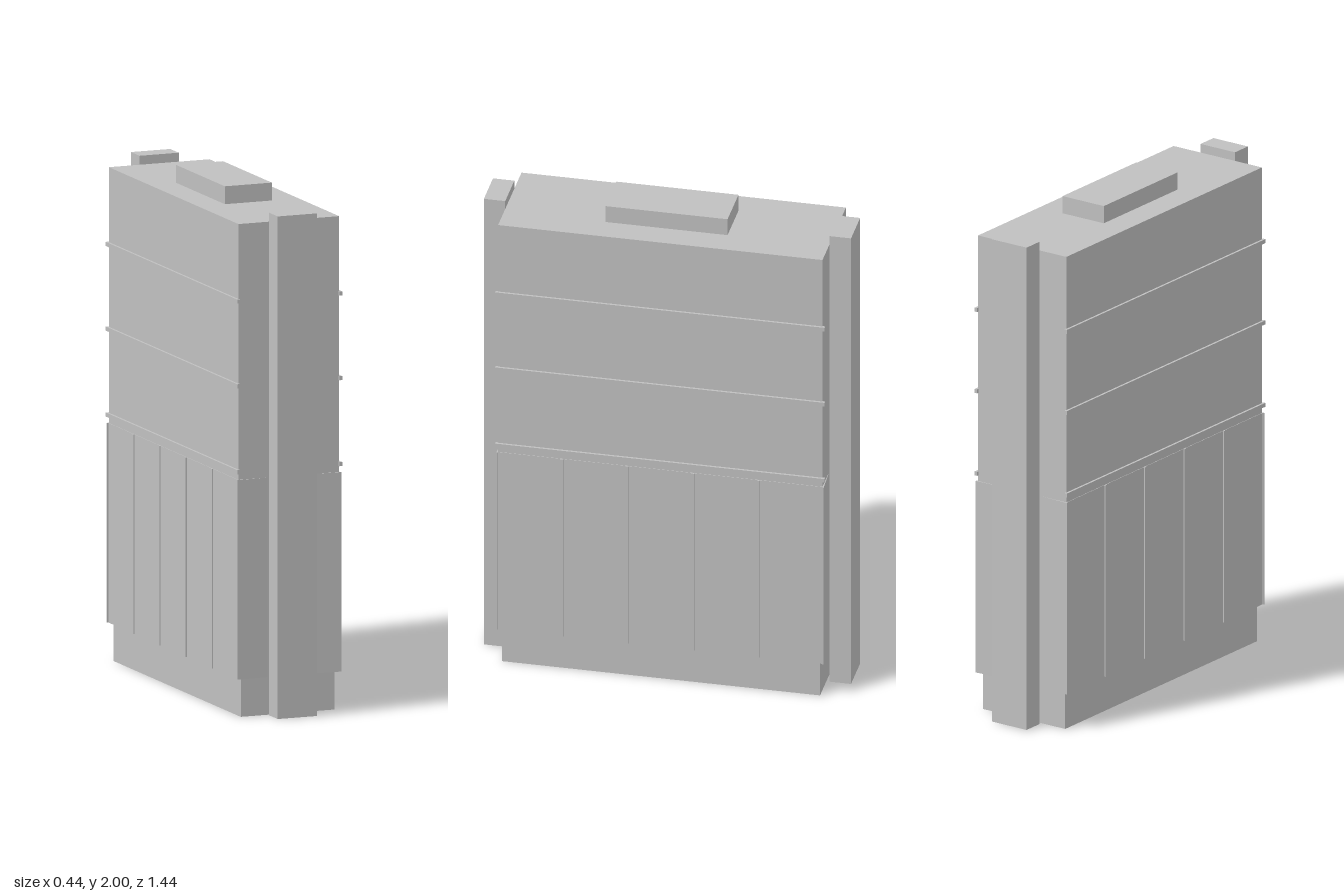
import * as THREE from 'three';

const grey = new THREE.MeshStandardMaterial({ color: 0xc0c0c0, side: THREE.DoubleSide });
grey.name = 'light grey';

// Box given by its half width, y range, z range and x centre; can be open below
function box(name, halfX, y0, y1, z0, z1, { x = 0, open = false } = {}) {
  const geo = new THREE.BoxGeometry(2 * halfX, y1 - y0, z1 - z0);
  if (open) {
    const index = Array.from(geo.index.array);
    index.splice(18, 6); // the downward face
    geo.setIndex(index);
    geo.clearGroups();
  }
  const mesh = new THREE.Mesh(geo, grey);
  mesh.name = name;
  mesh.position.set(x, (y0 + y1) / 2, (z0 + z1) / 2);
  return mesh;
}

// Plan outline of the cladding: five panels with raised seams on each long side
function claddingShape() {
  const side = [];
  const seam = 0.006, panels = 5, halfZ = 0.644;
  side.push([0.09, -0.638]);
  for (let i = 0; i <= panels; i++) {
    const z = -halfZ + (2 * halfZ * i) / panels;
    const a = Math.max(z - seam, -halfZ), b = Math.min(z + seam, halfZ);
    if (i > 0) side.push([0.212, a]);
    side.push([0.217, a], [0.217, b]);
    if (i < panels) side.push([0.212, b]);
  }
  side.push([0.09, 0.638]);
  const all = [...side, ...side.map(([x, z]) => [-x, -z])];
  return new THREE.Shape(all.map(([x, z]) => new THREE.Vector2(x, z)));
}

export function createModel() {
  const model = new THREE.Group();
  model.name = 'tallBlock';

  // Main volumes
  model.add(box('base', 0.195, 0, 0.15, -0.625, 0.625, { open: true }));
  model.add(box('body', 0.21, 0.151, 1.93, -0.638, 0.638));
  model.add(box('roofBox', 0.098, 1.93, 2, -0.24, 0.24));

  // Ribbed cladding around the lower storey
  const clad = new THREE.ExtrudeGeometry(claddingShape(), { depth: 0.78, bevelEnabled: false });
  clad.rotateX(-Math.PI / 2);
  const cladding = new THREE.Mesh(clad, grey);
  cladding.name = 'lowerCladding';
  cladding.position.y = 0.15;
  model.add(cladding);

  // Upright shafts on both narrow ends
  model.add(box('frontShaft', 0.082, 0, 1.965, 0.638, 0.722, { open: true }));
  model.add(box('backShaft', 0.082, 0, 1.965, -0.722, -0.638, { open: true }));

  // Thin ledges along both long sides
  for (const s of [1, -1]) {
    for (const y of [0.962, 1.298, 1.629]) {
      model.add(box(s > 0 ? 'leftLedge' : 'rightLedge', 0.006, y - 0.008, y + 0.008,
        -0.648, 0.648, { x: s * 0.213 }));
    }
  }
  return model;
}
